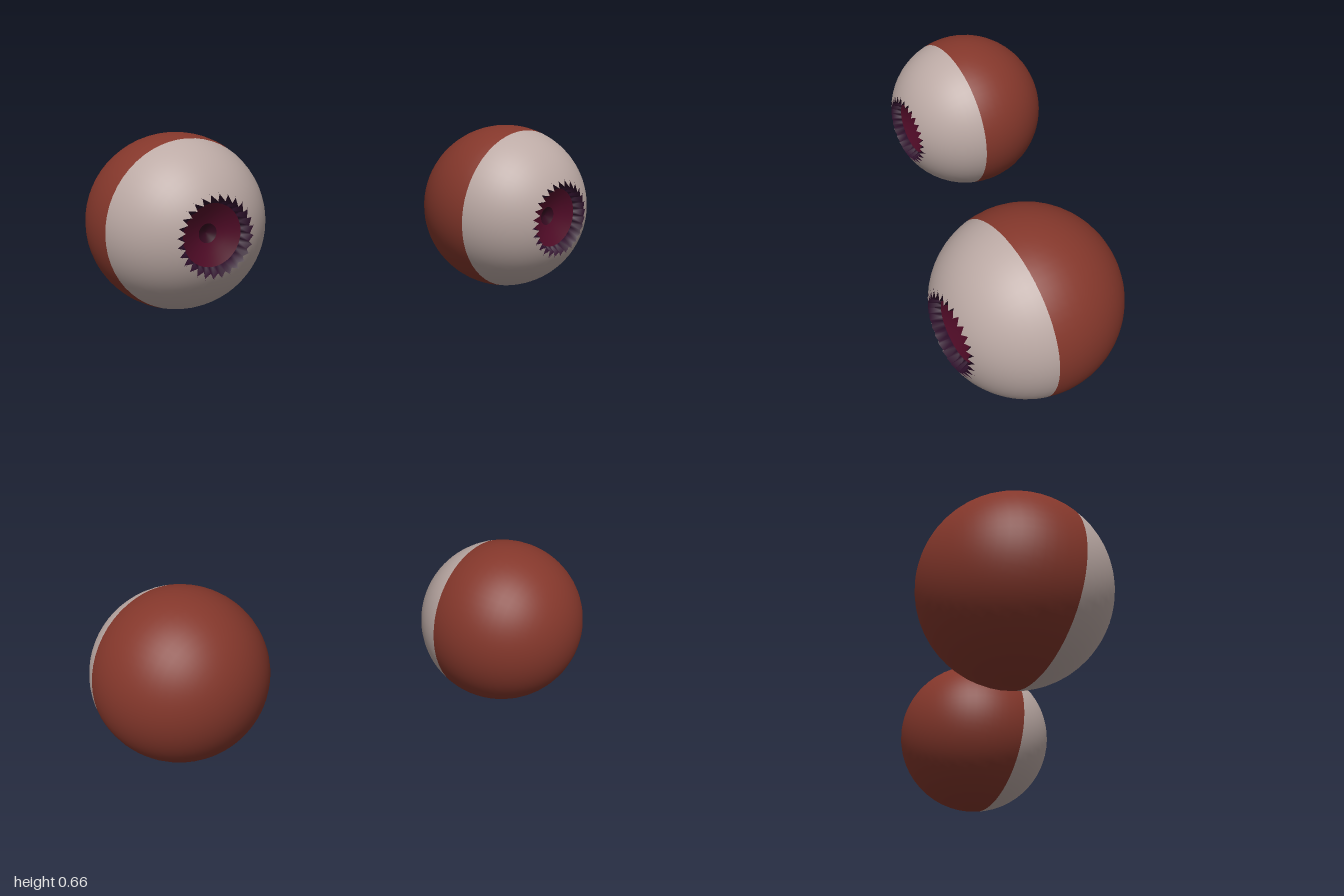
import * as THREE from 'three';

const R = 0.33;          // eyeball radius
const TEETH = 28;        // notches around the iris opening
const COLS = TEETH * 2;
const EDGE = 1.325;      // polar angle where the lid meets the white

const mat = (name, color, side = THREE.FrontSide) => {
  const m = new THREE.MeshStandardMaterial({ color, side });
  m.name = name;
  return m;
};

// Surface around +z through rings listed from back to front; each ring maps column -> [radius, z, angle]
function loft(rings, spherical) {
  const pos = [], index = [];
  rings.forEach((ring) => {
    for (let j = 0; j < COLS; j++) {
      const [r, z, a] = ring(j);
      pos.push(r * Math.cos(a), r * Math.sin(a), z);
    }
  });
  for (let i = 0; i < rings.length - 1; i++) {
    for (let j = 0; j < COLS; j++) {
      const k = (j + 1) % COLS;
      const a = i * COLS + j, b = i * COLS + k, c = a + COLS, d = b + COLS;
      index.push(a, b, d, a, d, c);
    }
  }
  const g = new THREE.BufferGeometry();
  g.setAttribute('position', new THREE.Float32BufferAttribute(pos, 3));
  g.setIndex(index);
  if (spherical) {
    // exact sphere normals
    const n = g.attributes.position.clone();
    g.setAttribute('normal', n);
    g.normalizeNormals();
  } else {
    g.computeVertexNormals();
  }
  return g;
}

const angle = (j) => (j / COLS) * Math.PI * 2;
const circle = (r, z) => (j) => [r, z, angle(j)];
const latitude = (t) => circle(R * Math.sin(t), R * Math.cos(t));
const latitudes = (from, to, n) =>
  Array.from({ length: n + 1 }, (_, i) => latitude(from + ((to - from) * i) / n));

// Saw-toothed rim: notches lean around the opening
const jagged = (j) => {
  const notch = j % 2 === 1;
  const r = notch ? 0.158 : 0.13;
  return [r, Math.sqrt(R * R - r * r), angle(j + (notch ? 0.5 : 0))];
};

export function createModel() {
  const lidMat = mat('lid brown', 0x84372b);
  const whiteMat = mat('eye white', 0xbcaaa5);
  const ringMat = mat('iris rim purple', 0x2e0f2b);
  const irisMat = mat('iris crimson', 0x520c28);
  const pupilMat = mat('pupil dark', 0x350a20);

  const parts = [
    ['lid', loft(latitudes(Math.PI - 0.0001, EDGE, 16), true), lidMat],
    ['eyeWhite', loft([...latitudes(EDGE, 0.53, 8), jagged], true), whiteMat],
    // recessed iris: sloping rim, shallow bowl and deep pupil
    ['irisRim', loft([jagged, circle(0.116, 0.263)]), ringMat],
    ['iris', loft([circle(0.116, 0.263), circle(0.075, 0.241), circle(0.036, 0.23)]), irisMat],
    ['pupil', loft([circle(0.036, 0.23), circle(0.018, 0.219), circle(0.0001, 0.215)]), pupilMat],
  ];

  const gaze = new THREE.Vector3(0.36, -0.07, 0.93).normalize();
  const model = new THREE.Group();
  model.name = 'eyes';
  for (const [name, x] of [['rightEye', -0.67], ['leftEye', 0.67]]) {
    const eye = new THREE.Group();
    eye.name = name;
    for (const [partName, geometry, material] of parts) {
      const mesh = new THREE.Mesh(geometry, material);
      mesh.name = partName;
      eye.add(mesh);
    }
    eye.position.set(x, R, 0);
    eye.quaternion.setFromUnitVectors(new THREE.Vector3(0, 0, 1), gaze);
    model.add(eye);
  }
  return model;
}
